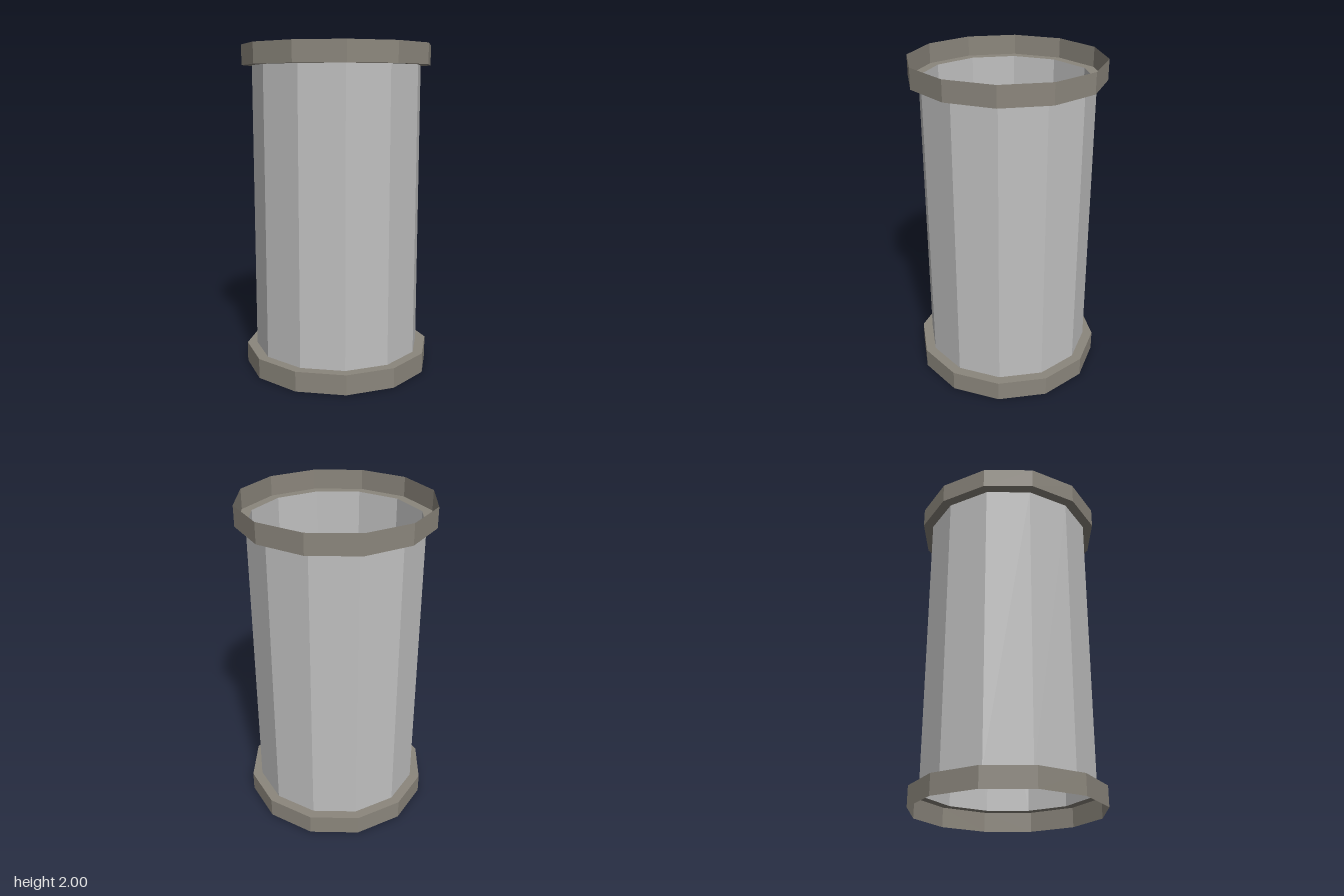
import * as THREE from 'three';

const SIDES = 12;
const HALF_STEP = Math.PI / SIDES; // turns a flat side to the front
const H = 2, LIP = 0.122;
const PIPE_R = 0.5 / Math.cos(HALF_STEP);
const RIM_R = 0.56 / Math.cos(HALF_STEP);

// Open twelve-sided wall between two heights
function wall(radius, y0, y1) {
  const g = new THREE.CylinderGeometry(radius, radius, y1 - y0, SIDES, 1, true, HALF_STEP);
  return g.translate(0, (y0 + y1) / 2, 0);
}

export function createModel() {
  const surface = { side: THREE.DoubleSide, flatShading: true };
  const pipeGrey = new THREE.MeshStandardMaterial({ color: 0xc0c0c0, ...surface });
  pipeGrey.name = 'pipeGrey';
  const rimGrey = new THREE.MeshStandardMaterial({ color: 0x8b867c, ...surface });
  rimGrey.name = 'rimGrey';

  const model = new THREE.Group();
  model.name = 'pipeSection';
  const add = (parent, name, geometry, material) => {
    const mesh = new THREE.Mesh(geometry, material);
    mesh.name = name;
    parent.add(mesh);
  };

  // Hollow pipe between the two ledges
  add(model, 'pipe', wall(PIPE_R, LIP, H - LIP), pipeGrey);

  // Thin collar at each end, joined to the pipe by a flat ledge
  for (const [name, y0, y1, ledgeY] of [
    ['bottomRim', 0, LIP, LIP],
    ['topRim', H - LIP, H, H - LIP],
  ]) {
    const rim = new THREE.Group();
    rim.name = name;
    add(rim, name + 'Collar', wall(RIM_R, y0, y1), rimGrey);
    const ledge = new THREE.RingGeometry(PIPE_R, RIM_R, SIDES, 1, HALF_STEP)
      .rotateX(-Math.PI / 2).translate(0, ledgeY, 0);
    add(rim, name + 'Ledge', ledge, rimGrey);
    model.add(rim);
  }
  return model;
}
